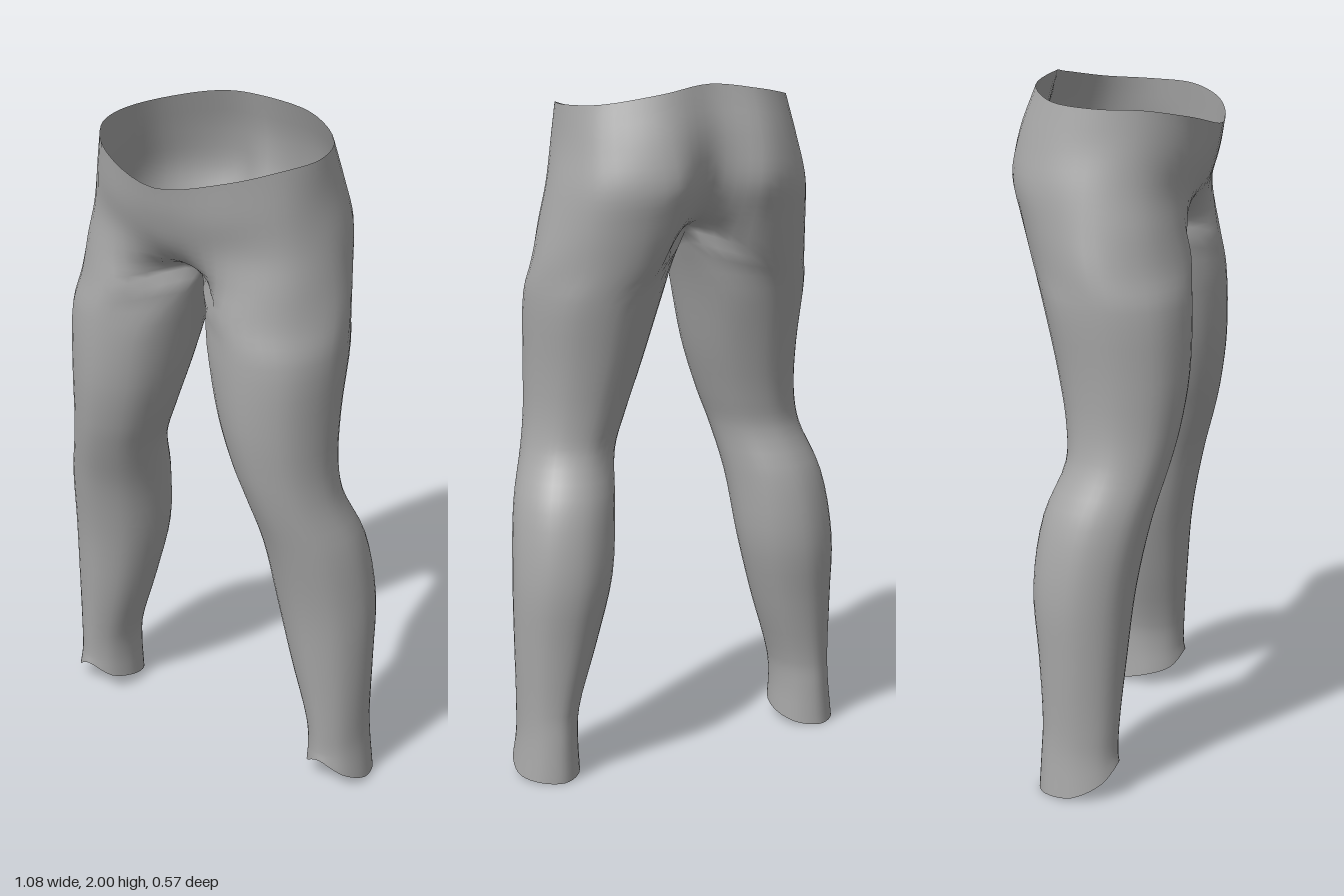
import * as THREE from 'three';
import { mergeGeometries, mergeVertices } from 'three/addons/utils/BufferGeometryUtils.js';

const AROUND = 5; // samples between neighbouring control points of a ring
const DOWN = 4; // samples between neighbouring control rows
const RING = 8 * AROUND;
const OUTER = 6 * AROUND; // columns from front seam round the hip to back seam

const v = (x, y, z) => new THREE.Vector3(x, y, z);
const spline = (pts, closed = false) => new THREE.CatmullRomCurve3(pts, closed, 'centripetal');

// Hip rows of the left half, from front seam round the outside to back seam
const hipRows = [
  [[0, 1.87, .285], [.2, 1.91, .235], [.31, 1.938, .13], [.345, 1.943, 0], [.3, 1.952, -.13], [.16, 1.98, -.216], [0, 2, -.203]],
  [[0, 1.78, .265], [.2, 1.8, .23], [.325, 1.83, .13], [.36, 1.83, -.01], [.32, 1.83, -.16], [.16, 1.85, -.265], [0, 1.86, -.235]],
  [[0, 1.69, .23], [.2, 1.7, .215], [.34, 1.71, .13], [.385, 1.72, -.02], [.33, 1.72, -.19], [.15, 1.73, -.286], [0, 1.73, -.225]],
  [[0, 1.62, .17], [.2, 1.61, .222], [.355, 1.61, .145], [.408, 1.61, -.02], [.335, 1.61, -.18], [.155, 1.63, -.255], [0, 1.63, -.165]],
  [[0, 1.57, .08], [.19, 1.52, .237], [.36, 1.5, .17], [.43, 1.5, 0], [.34, 1.5, -.16], [.17, 1.52, -.215], [0, 1.57, -.07]],
].map((row) => row.map((p) => v(...p)));
const CROTCH = (hipRows.length - 1) * DOWN;

// Leg rows: height, inner x, outer x, front z, back z
const legRows = [
  [1.4, .047, .44, .25, -.175],
  [1.2, .1, .435, .25, -.125],
  [1.05, .15, .438, .23, -.095],
  [.95, .185, .455, .207, -.09],
  [.8, .213, .505, .165, -.145],
  [.6, .238, .53, .125, -.17],
  [.4, .29, .53, .105, -.15],
  [.2, .353, .525, .09, -.133],
  [.12, .36, .527, .088, -.136],
  [0, .355, .54, .092, -.142],
];
// The ankle hem arches up over the foot
const hem = [.055, .095, .05, .01, .003, 0, .008, .03];

function legRing([y, xi, xo, zf, zb], isHem) {
  return Array.from({ length: 8 }, (_, i) => {
    const a = Math.PI * (0.75 - i / 4);
    return v((xi + xo) / 2 + Math.cos(a) * (xo - xi) / 2, isHem ? hem[i] : y,
      (zf + zb) / 2 + Math.sin(a) * (zf - zb) / 2);
  });
}

function halfGeometry() {
  const legs = legRows.map((row, i) => legRing(row, i === legRows.length - 1));
  const crotch = v(0, 1.55, 0);
  const rows = [...hipRows.map((r) => [...r, crotch]), ...legs];
  const total = (rows.length - 1) * DOWN;

  // Lengthwise curves; the inner-thigh one starts at the crotch
  const lengthwise = Array.from({ length: 7 }, (_, i) => spline(rows.map((r) => r[i])));
  const innerThigh = spline([crotch, ...legs.map((r) => r[7])]);

  const positions = [];
  for (let k = 0; k <= total; k++) {
    const pts = lengthwise.map((c) => c.getPoint(k / total));
    const inner = innerThigh.getPoint(Math.max(0, (k - CROTCH) / (total - CROTCH)));
    const legCurve = spline([...pts, inner], true);
    const mirrored = pts.slice(1, 6).reverse().map((p) => v(-p.x, p.y, p.z));
    const hipCurve = spline([...pts, ...mirrored], true);
    for (let j = 0; j < RING; j++) {
      const onHip = k <= CROTCH && j <= OUTER;
      const p = onHip ? hipCurve.getPoint(j / (12 * AROUND)) : legCurve.getPoint(j / RING);
      const onSeam = k <= CROTCH && (j === 0 || j >= OUTER);
      positions.push(onSeam ? 0 : Math.max(0, p.x), p.y, p.z);
    }
  }

  // Hip rows are open at the seam, leg rows are closed
  const index = [];
  for (let k = 0; k < total; k++) {
    const columns = k < CROTCH ? OUTER : RING;
    for (let j = 0; j < columns; j++) {
      const a = k * RING + j, b = k * RING + (j + 1) % RING;
      index.push(a, a + RING, b, b, a + RING, b + RING);
    }
  }
  const g = new THREE.BufferGeometry();
  g.setAttribute('position', new THREE.Float32BufferAttribute(positions, 3));
  g.setIndex(index);
  return g;
}

export function createModel() {
  const fabric = new THREE.MeshStandardMaterial({ color: 0xa6a6a6, side: THREE.DoubleSide });
  fabric.name = 'grey fabric';

  // Mirror the left half, flipping its faces, and weld along the seam
  const left = halfGeometry();
  const right = left.clone().scale(-1, 1, 1);
  right.setIndex(Array.from(right.index.array).reverse());
  const geometry = mergeVertices(mergeGeometries([left, right]), 1e-4);
  geometry.computeVertexNormals();

  const leggings = new THREE.Mesh(geometry, fabric);
  leggings.name = 'leggings';
  const model = new THREE.Group();
  model.name = 'leggingsModel';
  model.add(leggings);
  return model;
}
